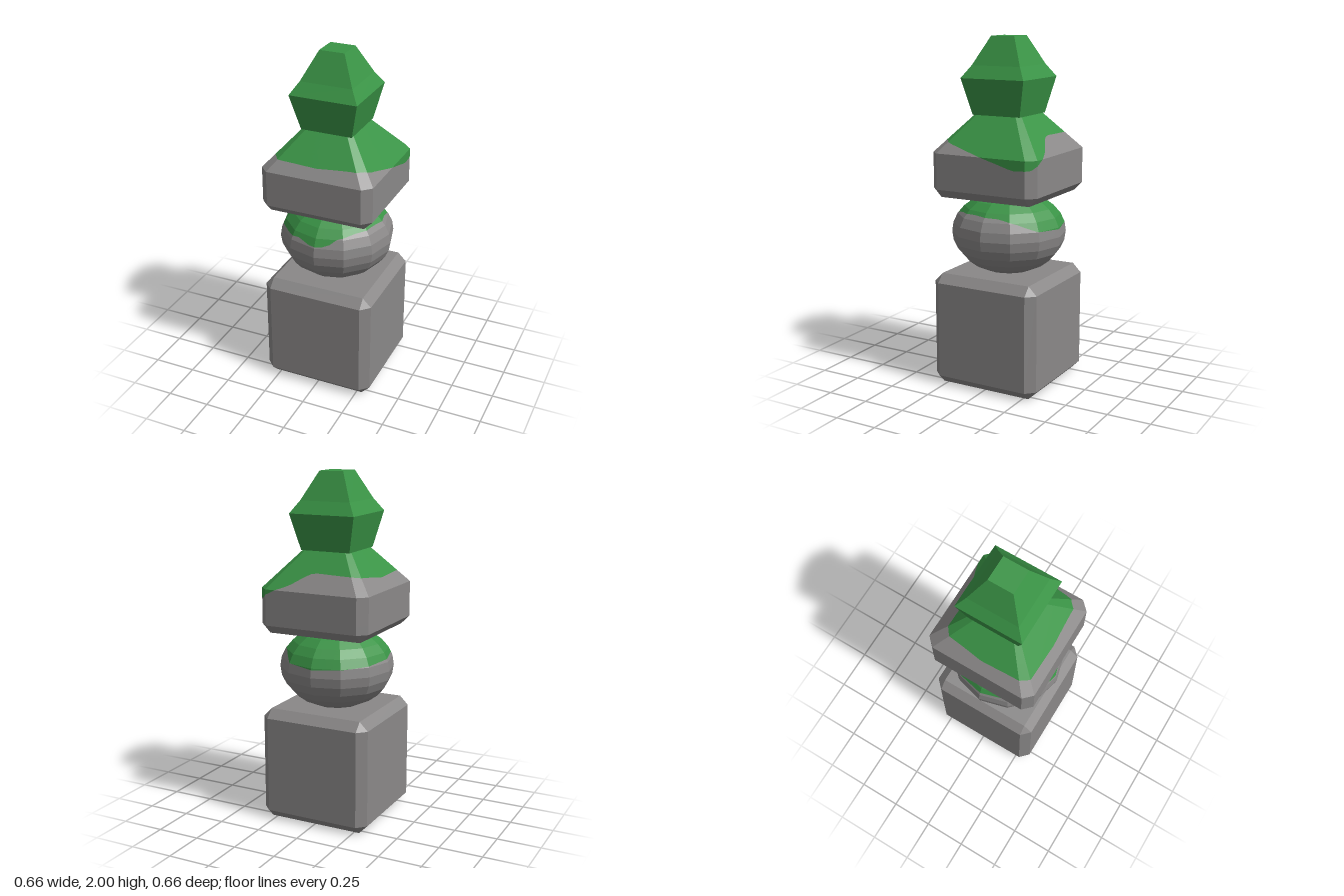
import * as THREE from 'three';

const stone = new THREE.MeshStandardMaterial({ color: 0x8a8888 });
stone.name = 'stone grey';
const moss = new THREE.MeshStandardMaterial({ color: 0x3a9446 });
moss.name = 'moss green';

const V = (x, y, z) => new THREE.Vector3(x, y, z);

// Eight-point square ring with its corners cut by c
function ring([y, h, c]) {
  const k = h - c;
  return [[k, h], [h, k], [h, -k], [k, -h], [-k, -h], [-h, -k], [-h, k], [-k, h]]
    .map(([x, z]) => V(x, y, z));
}

// Triangles of a closed solid lofted through [height, half width, corner cut]
function loft(levels) {
  const rings = levels.map(ring);
  const tris = [];
  const n = 8;
  for (let r = 0; r < rings.length - 1; r++) {
    for (let i = 0; i < n; i++) {
      const j = (i + 1) % n;
      const [a, b, c, d] = [rings[r][i], rings[r][j], rings[r + 1][j], rings[r + 1][i]];
      tris.push([a, b, c], [a, c, d]);
    }
  }
  const bottom = rings[0], top = rings[rings.length - 1];
  for (let i = 1; i < n - 1; i++) {
    tris.push([bottom[0], bottom[i + 1], bottom[i]], [top[0], top[i], top[i + 1]]);
  }
  return tris.filter(([a, b, c]) => new THREE.Triangle(a, b, c).getArea() > 1e-7);
}

// Flat-shaded mesh from a triangle list
function facetMesh(name, tris, material) {
  const geo = new THREE.BufferGeometry().setFromPoints(tris.flat());
  geo.computeVertexNormals();
  const mesh = new THREE.Mesh(geo, material);
  mesh.name = name;
  return mesh;
}

// Moss line height around the y axis; 0 degrees is the front, 90 is +x
function mossLine(points) {
  return (p) => {
    const a = THREE.MathUtils.radToDeg(Math.atan2(p.x, p.z));
    let i = 0;
    while (i < points.length - 2 && a > points[i + 1][0]) i++;
    const [a0, y0] = points[i], [a1, y1] = points[i + 1];
    return p.y - THREE.MathUtils.mapLinear(a, a0, a1, y0, y1);
  };
}

// Quarter triangles until their edges are short
function subdivide(tris, size) {
  const out = [];
  const visit = ([a, b, c]) => {
    if (Math.max(a.distanceTo(b), b.distanceTo(c), c.distanceTo(a)) < size) {
      out.push([a, b, c]);
      return;
    }
    const [ab, bc, ca] = [[a, b], [b, c], [c, a]].map(([p, q]) => p.clone().lerp(q, 0.5));
    [[a, ab, ca], [ab, b, bc], [ca, bc, c], [ab, bc, ca]].forEach(visit);
  };
  tris.forEach(visit);
  return out;
}

// Keep the part of each triangle on one side of the moss line
function clip(tris, line, sign) {
  const out = [];
  for (const tri of tris) {
    const d = tri.map((p) => sign * line(p));
    const poly = [];
    for (let i = 0; i < 3; i++) {
      const j = (i + 1) % 3;
      if (d[i] >= 0) poly.push(tri[i]);
      if ((d[i] >= 0) !== (d[j] >= 0)) {
        poly.push(tri[i].clone().lerp(tri[j], d[i] / (d[i] - d[j])));
      }
    }
    for (let i = 1; i < poly.length - 1; i++) out.push([poly[0], poly[i], poly[i + 1]]);
  }
  return out.filter(([a, b, c]) => new THREE.Triangle(a, b, c).getArea() > 1e-10);
}

// Stone part with moss growing over its upper side
function mossyPart(name, tris, points) {
  const line = mossLine(points);
  const fine = subdivide(tris, 0.05);
  const group = new THREE.Group();
  group.name = name;
  group.add(
    facetMesh(name + 'Stone', clip(fine, line, -1), stone),
    facetMesh(name + 'Moss', clip(fine, line, 1), moss),
  );
  return group;
}

export function createModel() {
  const model = new THREE.Group();
  model.name = 'stonePagoda';

  // Chamfered base block
  model.add(facetMesh('base', loft([
    [0, 0.28, 0], [0.05, 0.33, 0.05], [0.61, 0.33, 0.05], [0.66, 0.28, 0],
  ]), stone));

  // Faceted flattened ball
  const sphere = new THREE.SphereGeometry(0.33, 12, 14).toNonIndexed();
  sphere.scale(1, 0.243 / 0.33, 1).translate(0, 0.885, 0);
  const pos = sphere.attributes.position;
  const ballTris = [];
  for (let i = 0; i < pos.count; i += 3) {
    ballTris.push([0, 1, 2].map((k) => V(0, 0, 0).fromBufferAttribute(pos, i + k)));
  }
  model.add(mossyPart('ball', ballTris, [
    [-180, 0.93], [-135, 0.94], [-90, 0.955], [-62, 0.96], [-40, 0.955], [-22, 0.965],
    [-6, 0.945], [12, 0.95], [24, 0.995], [45, 1.01], [72, 1.018], [108, 1.01],
    [125, 0.99], [137, 0.965], [150, 0.94], [180, 0.93],
  ]));

  // Sloping roof block
  model.add(mossyPart('roof', loft([
    [1.105, 0.28, 0], [1.155, 0.33, 0.05], [1.36, 0.33, 0.05], [1.565, 0.15, 0.025],
  ]), [
    [-180, 1.458], [-140, 1.453], [-128, 1.445], [-90, 1.42], [-50, 1.428], [-39, 1.42],
    [0, 1.413], [38, 1.427], [48, 1.425], [55, 1.41], [72, 1.385], [90, 1.36],
    [107, 1.332], [122, 1.302], [135, 1.308], [146, 1.36], [155, 1.39], [162, 1.422],
    [170, 1.45], [180, 1.458],
  ]));

  // Moss-covered finial
  model.add(facetMesh('finial', loft([
    [1.565, 0.15, 0], [1.77, 0.198, 0], [1.84, 0.152, 0], [2, 0.073, 0],
  ]), moss));

  return model;
}
